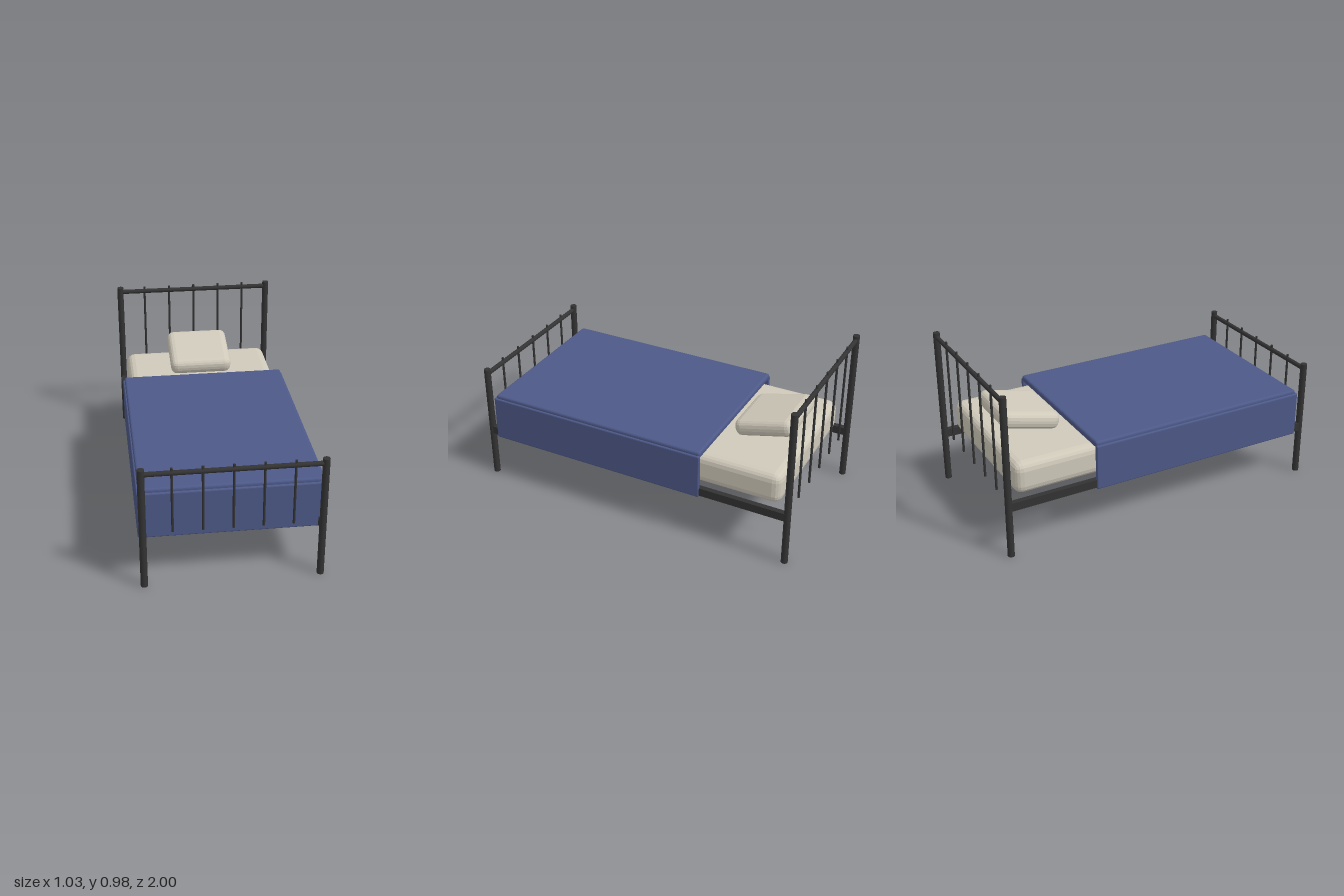
import * as THREE from 'three';
import { RoundedBoxGeometry } from 'three/addons/geometries/RoundedBoxGeometry.js';

const metal = new THREE.MeshStandardMaterial({ color: 0x333333 });
const linen = new THREE.MeshStandardMaterial({ color: 0xcfc9ba, flatShading: true });
const cloth = new THREE.MeshStandardMaterial({ color: 0x4d5988, flatShading: true });

function add(parent, name, geometry, material, x, y, z) {
  const mesh = new THREE.Mesh(geometry, material);
  mesh.name = name;
  mesh.position.set(x, y, z);
  parent.add(mesh);
  return mesh;
}

// Upright round bar between two heights
function upright(parent, name, radius, bottom, top, x) {
  const geometry = new THREE.CylinderGeometry(radius, radius, top - bottom, 16);
  add(parent, name, geometry, metal, x, (top + bottom) / 2, 0);
}

// Soft box given by its minimum and maximum corners
function softBox(parent, name, material, min, max, radius, segments) {
  const s = max.map((v, i) => v - min[i]);
  const c = max.map((v, i) => (v + min[i]) / 2);
  return add(parent, name, new RoundedBoxGeometry(...s, segments, radius), material, ...c);
}

// Two posts, a top rail and five spindles
function endFrame(name, height, z) {
  const frame = new THREE.Group();
  frame.name = name;
  frame.position.z = z;
  for (const x of [-0.489, 0.489]) upright(frame, 'post', 0.02, 0, height, x);
  const rail = new THREE.CylinderGeometry(0.014, 0.014, 0.96, 16).rotateZ(Math.PI / 2);
  add(frame, 'topRail', rail, metal, 0, height - 0.03, 0);
  for (let i = -2; i <= 2; i++) upright(frame, 'spindle', 0.007, 0.342, height, i * 0.164);
  return frame;
}

export function createModel() {
  const bed = new THREE.Group();
  bed.name = 'bed';

  // Metal frame
  bed.add(endFrame('headboard', 0.98, -0.98), endFrame('footboard', 0.735, 0.98));
  for (const x of [-0.489, 0.489]) {
    add(bed, 'sideRail', new THREE.BoxGeometry(0.032, 0.05, 1.96), metal, x, 0.315, 0);
  }

  // Mattress
  softBox(bed, 'mattress', linen, [-0.465, 0.345, -0.918], [0.465, 0.537, 0.915], 0.05, 2);

  // Pillow, raised towards the headboard
  const pillow = softBox(bed, 'pillow', linen,
    [-0.195, 0.571, -0.869], [0.195, 0.673, -0.506], 0.042, 2);
  pillow.rotation.x = 0.25;

  // Blanket: top sheet with hanging sides and foot flap
  const blanket = new THREE.Group();
  blanket.name = 'blanket';
  softBox(blanket, 'blanketTop', cloth, [-0.503, 0.537, -0.447], [0.503, 0.578, 0.922], 0.014, 2);
  for (const s of [-1, 1]) {
    softBox(blanket, 'blanketSide', cloth,
      [s * 0.5 - 0.013, 0.28, -0.447], [s * 0.5 + 0.013, 0.556, 0.93], 0.008, 2);
  }
  softBox(blanket, 'blanketFoot', cloth, [-0.51, 0.28, 0.908], [0.51, 0.556, 0.934], 0.008, 2);
  bed.add(blanket);

  return bed;
}
